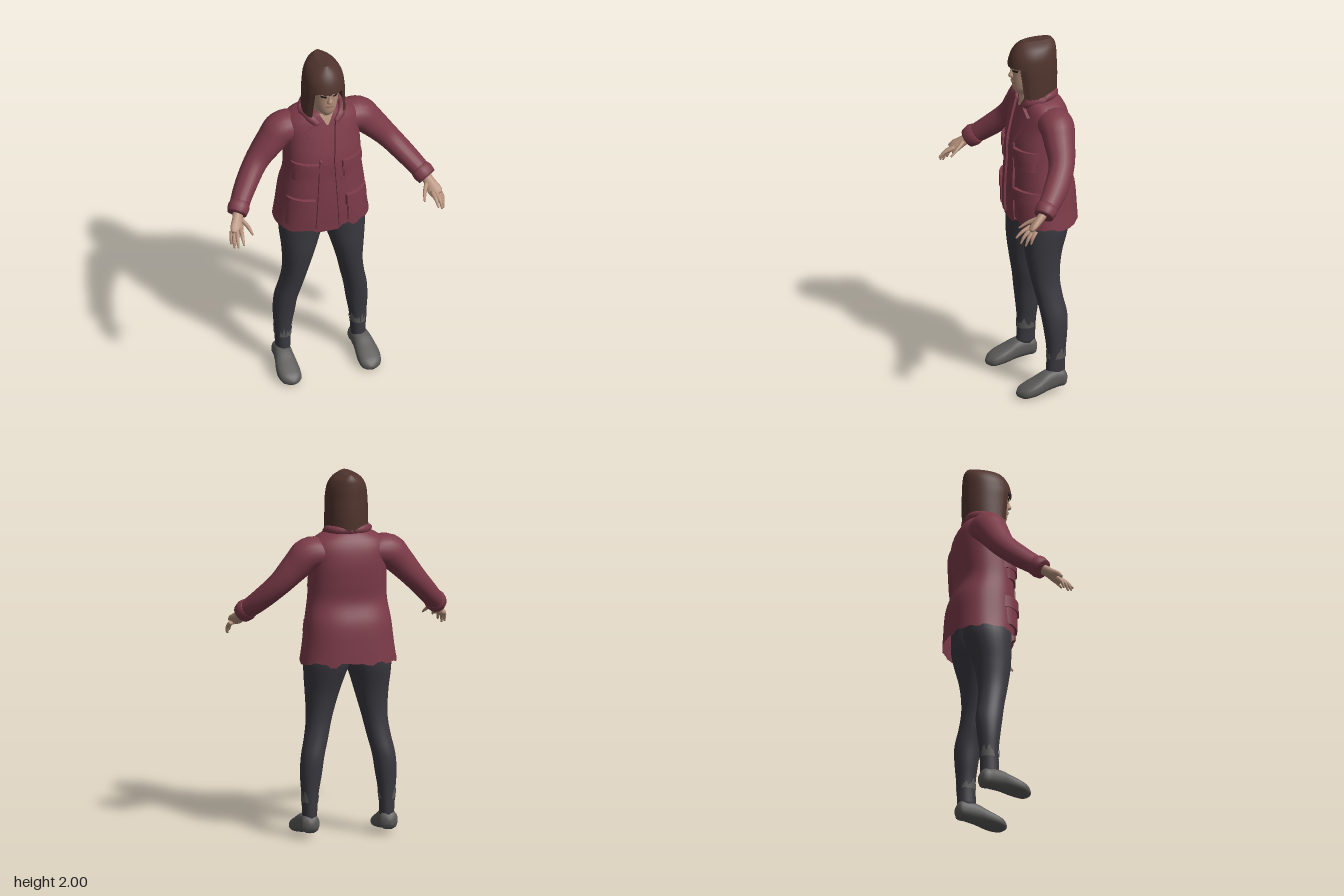
import * as THREE from 'three';
import { toCreasedNormals } from 'three/addons/utils/BufferGeometryUtils.js';

const flat = (name, color, side = THREE.FrontSide) => {
  const m = new THREE.MeshStandardMaterial({ color, side });
  m.name = name;
  return m;
};

// rows of [key, ...values] -> smooth lookup by key
function profile(rows) {
  const f = new THREE.CubicInterpolant(rows.map(r => r[0]), rows.flatMap(r => r.slice(1)), rows[0].length - 1);
  return t => Array.from(f.evaluate(t));
}
const steps = (a, b, n) => Array.from({ length: n + 1 }, (_, i) => a + (b - a) * i / n);
const V = (x, y, z) => new THREE.Vector3(x, y, z);
const power = (v, n) => Math.sign(v) * Math.abs(v) ** (2 / n);
// repeatable unevenness for ragged edges
const jag = j => { const s = Math.sin(j * 12.9898) * 43758.5453; return s - Math.floor(s); };

// skin over a list of equally long rings
function loft(rings, { closed = true, caps = true } = {}) {
  const n = rings[0].length, pos = [], idx = [];
  rings.forEach(r => r.forEach(p => pos.push(p.x, p.y, p.z)));
  for (let i = 0; i < rings.length - 1; i++)
    for (let j = 0; j < (closed ? n : n - 1); j++) {
      const k = (j + 1) % n, a = i * n + j, b = i * n + k;
      idx.push(a, b, b + n, a, b + n, a + n);
    }
  if (closed && caps)
    [0, rings.length - 1].forEach((e, end) => {
      const c = rings[e].reduce((s, p) => s.add(p), V(0, 0, 0)).divideScalar(n), m = pos.length / 3;
      pos.push(c.x, c.y, c.z);
      for (let j = 0; j < n; j++) {
        const a = e * n + j, b = e * n + (j + 1) % n;
        if (end) idx.push(a, b, m);
        else idx.push(b, a, m);
      }
    });
  const g = new THREE.BufferGeometry();
  g.setAttribute('position', new THREE.Float32BufferAttribute(pos, 3));
  g.setIndex(idx);
  g.computeVertexNormals();
  return g;
}

// horizontal ring of a body whose profile gives [halfWidth, zFront, zBack]
function bodyRing(body, y, n, angles, cx = 0) {
  const [rx, zf, zb] = body(y);
  return angles.map(a => V(cx + rx * power(Math.sin(a), n), y, (zf + zb) / 2 + (zf - zb) / 2 * power(Math.cos(a), n)));
}
const round = n => steps(0, Math.PI * 2, n).slice(0, n);

// tube along rows of [key, x, y, z, radiusAcross, radiusDeep]
function sweep(rows, count = 12, sides = 14) {
  const f = profile(rows), last = rows[rows.length - 1][0];
  return loft(steps(0, last, count).map(t => {
    const [x, y, z, ru, rv] = f(t), p = f(Math.max(0, t - 0.02)), q = f(Math.min(last, t + 0.02));
    const T = V(q[0] - p[0], q[1] - p[1], q[2] - p[2]).normalize();
    const U = T.clone().cross(V(0, 0, 1)).normalize(), W = U.clone().cross(T);
    return round(sides).map(a => V(x, y, z).addScaledVector(U, ru * Math.sin(a)).addScaledVector(W, rv * Math.cos(a)));
  }));
}

// raised panel lying on the front of a body; corners bl, br, tr, tl
function panel(body, n, [bl, br, tr, tl], lift, sink = 0.008) {
  const s = [0, ...steps(0.02, 0.98, 8), 1], last = s.length - 1;
  const rows = s.map((v, i) => s.map((u, j) => {
    const at = k => (bl[k] * (1 - u) + br[k] * u) * (1 - v) + (tl[k] * (1 - u) + tr[k] * u) * v;
    const x = at(0), y = at(1), [rx, zf, zb] = body(y), edge = !i || !j || i === last || j === last;
    const z = (zf + zb) / 2 + (zf - zb) / 2 * Math.max(0, 1 - Math.abs(x / rx) ** n) ** (1 / n);
    return V(x, y, z + (edge ? -sink : lift));
  }));
  return toCreasedNormals(loft(rows, { closed: false }), 0.7);
}

function mirror(g) {
  const m = g.clone().scale(-1, 1, 1);
  const src = g.index ? Array.from(g.index.array) : Array.from({ length: g.attributes.position.count }, (_, i) => i);
  for (let i = 0; i < src.length; i += 3) [src[i + 1], src[i + 2]] = [src[i + 2], src[i + 1]];
  m.setIndex(src);
  return m;
}

export function createModel() {
  const model = new THREE.Group();
  const jacket = flat('jacket red', 0x7c3b49, THREE.DoubleSide), hair = flat('hair brown', 0x50342d, THREE.DoubleSide);
  const skin = flat('skin', 0xb6927d), pants = flat('trouser charcoal', 0x3a3940);
  const shoe = flat('shoe grey', 0x5b5a59, THREE.DoubleSide), dark = flat('eye dark', 0x241d1e), lip = flat('lip', 0x98695d);
  const add = (name, g, m) => { const o = new THREE.Mesh(g, m); o.name = name; model.add(o); };
  const pair = (name, g, m) => { add(name + 'Left', g, m); add(name + 'Right', mirror(g), m); };

  // jacket body with a ragged hem
  const torso = profile([
    [0.975, 0.262, 0.085, -0.27], [1.05, 0.25, 0.09, -0.268], [1.2, 0.232, 0.09, -0.255], [1.31, 0.215, 0.085, -0.217],
    [1.42, 0.21, 0.083, -0.225], [1.53, 0.207, 0.057, -0.23], [1.62, 0.205, 0.03, -0.212], [1.66, 0.17, 0.018, -0.19],
    [1.695, 0.085, 0.005, -0.16]]);
  const torsoRings = steps(0.975, 1.695, 30).map(y => bodyRing(torso, y, 2.4, round(56)));
  torsoRings[0].forEach((p, j) => { p.y += (jag(j >> 1) - 0.5) * 0.03; });
  torsoRings.push(bodyRing(torso, 1.695, 2.4, round(56)).map(p => V(p.x * 0.6, 1.69, -0.07 + (p.z + 0.07) * 0.6)));
  add('jacketBody', loft(torsoRings, { caps: false }), jacket);

  // front edges, lapels, pockets and flaps
  const onJacket = (name, corners, lift) => pair(name, panel(torso, 2.4, corners, lift), jacket);
  onJacket('frontEdge', [[0.045, 0.985], [0.085, 0.985], [0.06, 1.44], [0.02, 1.42]], 0.012);
  onJacket('lapel', [[0.018, 1.4], [0.035, 1.4], [0.13, 1.6], [0.045, 1.655]], 0.014);
  onJacket('chestPocket', [[0.075, 1.3], [0.195, 1.3], [0.195, 1.4], [0.07, 1.4]], 0.012);
  onJacket('chestFlap', [[0.062, 1.36], [0.203, 1.36], [0.2, 1.415], [0.065, 1.415]], 0.02);
  onJacket('lowerPocket', [[0.095, 1.01], [0.232, 1.01], [0.222, 1.17], [0.092, 1.17]], 0.014);
  onJacket('lowerFlap', [[0.085, 1.115], [0.23, 1.115], [0.222, 1.185], [0.085, 1.185]], 0.022);
  pair('collar', sweep([[0, 0.05, 1.635, 0.028, 0.016, 0.012], [1, 0.09, 1.672, -0.005, 0.024, 0.018],
    [2, 0.11, 1.69, -0.08, 0.026, 0.02], [3, 0.07, 1.7, -0.145, 0.024, 0.02], [4, -0.01, 1.7, -0.16, 0.022, 0.02]], 20), jacket);

  // sleeves and cuffs
  pair('sleeve', sweep([[0, 0.12, 1.575, -0.1, 0.075, 0.095], [1, 0.215, 1.568, -0.1, 0.09, 0.095],
    [2, 0.28, 1.507, -0.09, 0.08, 0.085], [3, 0.37, 1.405, -0.066, 0.064, 0.07],
    [4, 0.455, 1.308, 0.005, 0.057, 0.066], [5, 0.53, 1.222, 0.095, 0.05, 0.052]], 24, 20), jacket);
  pair('cuff', sweep([[0, 0.505, 1.25, 0.065, 0.052, 0.056], [1, 0.52, 1.233, 0.085, 0.06, 0.06],
    [2, 0.538, 1.21, 0.108, 0.054, 0.052]], 6, 16), jacket);

  // hands
  pair('palm', sweep([[0, 0.525, 1.225, 0.095, 0.03, 0.026], [1, 0.543, 1.195, 0.135, 0.031, 0.022],
    [2, 0.558, 1.165, 0.175, 0.04, 0.019], [3, 0.566, 1.148, 0.198, 0.032, 0.012]], 10), skin);
  const fingers = [
    ['thumb', [0.525, 1.195, 0.14], [0.5, 1.17, 0.185], [0.485, 1.14, 0.228]],
    ['indexFinger', [0.54, 1.165, 0.185], [0.547, 1.145, 0.235], [0.55, 1.115, 0.272]],
    ['middleFinger', [0.56, 1.158, 0.19], [0.572, 1.13, 0.23], [0.575, 1.09, 0.255]],
    ['ringFinger', [0.575, 1.15, 0.185], [0.588, 1.118, 0.215], [0.59, 1.078, 0.232]],
    ['littleFinger', [0.585, 1.15, 0.17], [0.597, 1.122, 0.193], [0.6, 1.088, 0.205]]];
  fingers.forEach(([name, a, b, c]) =>
    pair(name, sweep([[0, ...a, 0.013, 0.012], [1, ...b, 0.011, 0.01], [2, ...c, 0.005, 0.005]], 8, 8), skin));

  // legs: rows of [y, outer, inner, zFront, zBack]
  const leg = profile([[0.1, 0.25, 0.175, -0.04, -0.145], [0.25, 0.258, 0.165, -0.045, -0.15], [0.35, 0.264, 0.148, -0.035, -0.16],
    [0.45, 0.258, 0.133, -0.02, -0.165], [0.55, 0.237, 0.108, -0.002, -0.148], [0.65, 0.223, 0.085, 0.02, -0.138],
    [0.8, 0.228, 0.042, 0.045, -0.155], [0.9, 0.237, 0.01, 0.05, -0.185], [0.97, 0.238, -0.015, 0.055, -0.205],
    [1.1, 0.21, -0.02, 0.05, -0.21]]);
  const legRing = (y, angles, grow = 0) => {
    const [o, i, zf, zb] = leg(y);
    return bodyRing(() => [(o - i) / 2 + grow, zf + grow, zb - grow], y, 2.1, angles, (o + i) / 2);
  };
  pair('leg', loft(steps(0.1, 1.1, 32).map(y => legRing(y, round(28)))), pants);

  // ragged sock edge showing through above the ankle
  const teeth = steps(0, Math.PI * 2, 36);
  pair('sockEdge', loft([0, 1].map(top => teeth.map((a, j) => {
    const worn = jag((j >> 2) + 3) > 0.4, y = 0.205 + (worn ? top * (0.015 + 0.05 * jag(j)) : 0);
    return legRing(y, [a], 0.003)[0];
  })), { closed: false }), shoe);

  // shoes: rows of [z, centreX, halfWidth, bottom, top]
  const last = profile([[-0.155, 0.215, 0.018, 0.06, 0.1], [-0.145, 0.215, 0.04, 0.043, 0.123], [-0.1, 0.217, 0.047, 0.033, 0.138],
    [-0.04, 0.222, 0.052, 0.024, 0.132], [0.02, 0.226, 0.061, 0.01, 0.102], [0.07, 0.226, 0.062, 0.003, 0.078],
    [0.11, 0.223, 0.048, 0.002, 0.056], [0.13, 0.221, 0.018, 0.012, 0.036]]);
  pair('shoe', loft(steps(-0.155, 0.13, 22).map(z => {
    const [cx, w, b, t] = last(z);
    return round(24).map(a => V(cx - w * power(Math.sin(a), 2.5), Math.max(0, (b + t) / 2 + (t - b) / 2 * power(Math.cos(a), 2.5)), z));
  })), shoe);

  // head, neck and open neckline
  const head = profile([[1.7, 0.026, 0.042, -0.05], [1.72, 0.047, 0.06, -0.09], [1.76, 0.064, 0.069, -0.12],
    [1.82, 0.074, 0.073, -0.14], [1.87, 0.078, 0.075, -0.15], [1.96, 0.055, 0.035, -0.13]]);
  add('head', loft(steps(1.7, 1.96, 18).map(y => bodyRing(head, y, 2.2, round(32)))), skin);
  const neck = profile([[1.6, 0.06, 0.01, -0.12], [1.66, 0.052, 0.018, -0.11], [1.76, 0.05, 0.02, -0.11]]);
  add('neck', loft(steps(1.6, 1.76, 8).map(y => bodyRing(neck, y, 2, round(24)))), skin);
  add('neckline', panel(torso, 2.4, [[-0.004, 1.625], [0.004, 1.625], [0.04, 1.69], [-0.04, 1.69]], 0.006), skin);

  // face details
  const nose = profile([[1.795, 0.014, 0.076, 0.05], [1.805, 0.016, 0.092, 0.05], [1.83, 0.009, 0.084, 0.05], [1.86, 0.007, 0.076, 0.05]]);
  add('nose', loft(steps(1.795, 1.86, 8).map(y => bodyRing(nose, y, 2, round(12)))), skin);
  const onFace = (corners, lift) => panel(head, 2.2, corners, lift, 0.002);
  pair('eye', onFace([[0.02, 1.838], [0.046, 1.838], [0.05, 1.85], [0.018, 1.848]], 0.003), dark);
  pair('brow', onFace([[0.014, 1.86], [0.054, 1.863], [0.052, 1.872], [0.014, 1.868]], 0.004), dark);
  add('mouth', onFace([[-0.018, 1.77], [0.018, 1.77], [0.022, 1.777], [-0.022, 1.777]], 0.004), lip);

  // hair: crown with a straight fringe, then a bob open at the face
  const crown = profile([[1.69, 0.118, 0.085, -0.178], [1.8, 0.115, 0.088, -0.182], [1.87, 0.112, 0.089, -0.18],
    [1.94, 0.098, 0.068, -0.177], [1.98, 0.068, 0.038, -0.17], [2.0, 0.032, 0.012, -0.155]]);
  const crownRings = steps(1.865, 2, 14).map(y => bodyRing(crown, y, 2.1, round(48)));
  crownRings[0].forEach((p, j) => { p.y += p.z > 0 ? (jag(j) - 0.5) * 0.016 : 0; });
  add('hairCrown', loft(crownRings, { caps: false }), hair);
  add('hairTop', loft([bodyRing(crown, 1.999, 2.1, round(48)), bodyRing(crown, 2, 2.1, round(48))]), hair);
  add('hairBob', loft(steps(1.695, 1.88, 10).map((y, i) => {
    const open = 0.92 - 0.16 * i / 10;
    const ring = bodyRing(crown, y, 2.1, steps(open, Math.PI * 2 - open, 44));
    // front locks curl in towards the cheeks
    ring.forEach((p, j) => { if (j < 2 || j > 42) p.x *= 0.93; if (!i) p.y += (jag(j) - 0.5) * 0.008; });
    return ring;
  }), { closed: false }), hair);

  return model;
}
